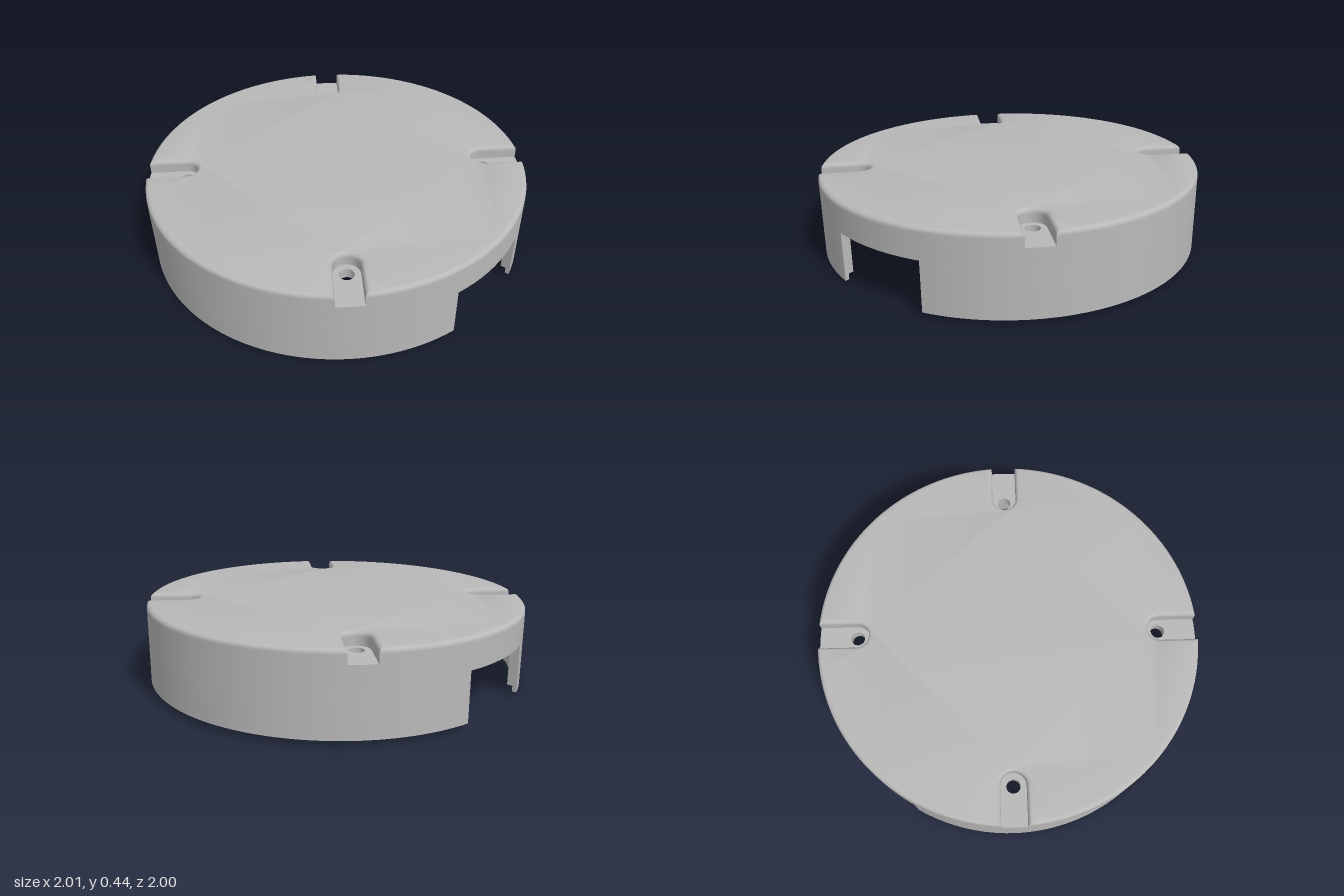
import * as THREE from 'three';
import { toCreasedNormals } from 'three/addons/utils/BufferGeometryUtils.js';

const OUTER = 1, INNER = 0.95, LIP = 0.978;   // wall radii
const SCREW = 0.8;                            // radius of the screw circle
const SLOT = 0.066, BOSS = 0.11;              // half widths of slots and bosses
const NOTCH = 0.253;                          // half width of the wall openings
const DIAGONALS = [0, 1, 2, 3].map(k => Math.PI / 4 + k * Math.PI / 2);

const polar = (r, a, cx = 0, cy = 0) => new THREE.Vector2(cx + r * Math.cos(a), cy + r * Math.sin(a));

function arc(r, from, to, n, cx = 0, cy = 0) {
  return Array.from({ length: n + 1 }, (_, i) => polar(r, from + (to - from) * i / n, cx, cy));
}

const circle = (r, n, cx, cy) => arc(r, 0, Math.PI * 2, n, cx, cy).slice(0, -1);

// Circle cut by four round-ended bays of half width w on the diagonals
function bayedCircle(r, w) {
  const d = Math.asin(w / r);
  return DIAGONALS.flatMap(a => {
    const c = polar(SCREW, a);
    return [
      ...arc(w, a - Math.PI / 2, a - Math.PI * 1.5, 16, c.x, c.y),
      ...arc(r, a + d, a + Math.PI / 2 - d, 36),
    ];
  });
}

// Half ring on the +x (side = 1) or -x (side = -1), cut off at the notches
function halfRing(rIn, side) {
  const mid = side > 0 ? 0 : Math.PI;
  const a = Math.acos(NOTCH / OUTER), b = Math.acos(NOTCH / rIn);
  return [...arc(OUTER, mid - a, mid + a, 64), ...arc(rIn, mid + b, mid - b, 64)];
}

// Extrudes a plan outline upward from y0 to y1, with an optional rounded top edge
function slab(outline, holes, y0, y1, round = 0) {
  const shape = new THREE.Shape(outline);
  shape.holes = holes.map(h => new THREE.Path(h));
  const geo = new THREE.ExtrudeGeometry(shape, {
    depth: y1 - y0 - round, bevelEnabled: round > 0, bevelThickness: round,
    bevelSize: round, bevelOffset: -round, bevelSegments: 5,
  });
  // flatten the lower bevel so that only the top edge is rounded
  const p = geo.attributes.position;
  for (let i = 0; i < p.count; i++) p.setZ(i, Math.max(0, p.getZ(i)));
  geo.rotateX(-Math.PI / 2);
  geo.translate(0, y0, 0);
  return toCreasedNormals(geo, 0.5);
}

export function createModel() {
  const model = new THREE.Group();
  model.name = 'roundCover';
  const grey = new THREE.MeshStandardMaterial({ color: 0xb8b8b8 });
  grey.name = 'lightGrey';

  const cover = new THREE.Group();
  cover.name = 'cover';
  const add = (name, geo) => {
    const mesh = new THREE.Mesh(geo, grey);
    mesh.name = name;
    cover.add(mesh);
  };

  const slotted = bayedCircle(OUTER, SLOT);
  const bossed = bayedCircle(INNER, BOSS);
  const screwHoles = DIAGONALS.map(a => {
    const c = polar(SCREW, a);
    return circle(0.036, 24, c.x, c.y);
  });

  // Top plate, and the slot walls below it
  add('topPlate', slab(slotted, [], 0.384, 0.41, 0.022));
  add('slotWalls', slab(slotted, [bossed], 0.341, 0.384));

  // Slot floors with screw holes, joined to the wall
  add('screwBosses', slab(circle(OUTER, 160), [bossed, ...screwHoles], 0.29, 0.341));
  add('upperWall', slab(circle(OUTER, 160), [circle(INNER, 160)], 0.253, 0.29));

  // Lower wall halves between the front and back notches, with a stepped lip
  for (const side of [1, -1]) {
    const label = side > 0 ? 'left' : 'right';
    add(label + 'Wall', slab(halfRing(INNER, side), [], 0.03, 0.253));
    add(label + 'Lip', slab(halfRing(LIP, side), [], 0, 0.03));
  }

  // The cover leans slightly to one side
  cover.rotation.z = 0.0155;
  cover.position.set(0.003, 0.0155, 0);
  model.add(cover);
  return model;
}
